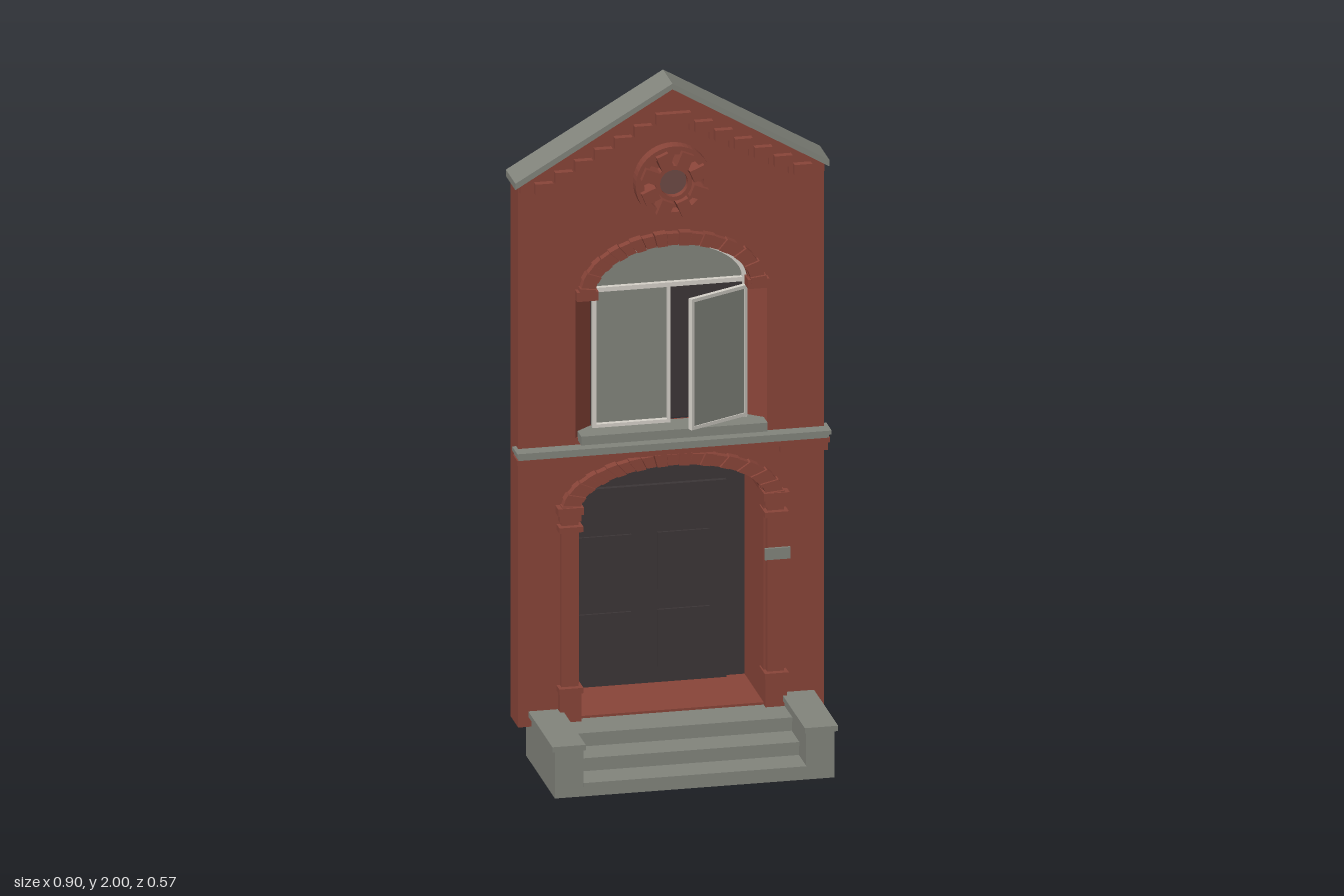
import * as THREE from 'three';

const mat = (name, color) => Object.assign(new THREE.MeshStandardMaterial({ color }), { name });

export function createModel() {
  const brick = mat('brick red', 0x8a4539);
  const stone = mat('grey stone', 0x83857d);
  const dark = mat('dark wood', 0x3c3637);
  const white = mat('pale frame', 0xd6d2ca);
  const dull = mat('dull brick', 0x6d4a45);
  const root = new THREE.Group();

  const add = (name, geo, m, parent = root) => {
    const mesh = new THREE.Mesh(geo, m);
    mesh.name = name;
    parent.add(mesh);
    return mesh;
  };
  // box given by its limits
  const box = (name, m, x0, x1, y0, y1, z0, z1, parent = root) =>
    add(name, new THREE.BoxGeometry(x1 - x0, y1 - y0, z1 - z0)
      .translate((x0 + x1) / 2, (y0 + y1) / 2, (z0 + z1) / 2), m, parent);
  const pair = (name, m, x0, x1, ...r) => {
    box(name + 'Left', m, x0, x1, ...r);
    box(name + 'Right', m, -x1, -x0, ...r);
  };
  // flat shape extruded from z0 to z1
  const slab = (name, m, shape, z0, z1) =>
    add(name, new THREE.ExtrudeGeometry(shape, { depth: z1 - z0, bevelEnabled: false, curveSegments: 24 })
      .translate(0, 0, z0), m);
  const poly = pts => new THREE.Shape(pts.map(p => new THREE.Vector2(...p)));
  const arc = (rx, ry, cy, n = 28) => Array.from({ length: n + 1 }, (_, i) => {
    const a = Math.PI * i / n;
    return [rx * Math.cos(a), cy + ry * Math.sin(a)];
  });
  // opening with straight jambs and an elliptical head
  const arch = (w, y0, spring, ry) => [[w, y0], ...arc(w, ry, spring), [-w, y0]];

  // wall in two layers, so that the window jambs can splay
  const wallShape = hole => {
    const s = poly([[0.44, 0.11], [0.44, 1.728], [0, 1.988], [-0.44, 1.728], [-0.44, 0.11],
      ...arch(0.265, 0.11, 0.745, 0.115).reverse()]);
    s.holes.push(poly(hole));
    return s;
  };
  slab('wallBack', brick, wallShape(arch(0.222, 0.96, 1.39, 0.13)), -0.125, -0.07);
  slab('wallFront', brick, wallShape([[0.275, 0.96], [0.275, 1.38], [0.222, 1.38],
    ...arc(0.222, 0.13, 1.39), [-0.222, 1.38], [-0.275, 1.38], [-0.275, 0.96]]), -0.07, -0.025);
  for (const s of [1, -1]) {
    const jamb = new THREE.ExtrudeGeometry(poly([[s * 0.275, 0.025], [s * 0.275, 0.07], [s * 0.222, 0.07]]),
      { depth: 0.42, bevelEnabled: false }).rotateX(-Math.PI / 2);
    // shape y becomes -z, extrusion becomes +y
    add('windowJamb', jamb.translate(0, 0.96, 0), brick);
  }

  // gable coping
  slab('roofCoping', stone, poly([[0, 2], [0.452, 1.737], [0.452, 1.718], [0, 1.983],
    [-0.452, 1.718], [-0.452, 1.737]]), -0.13, -0.008);

  // stepped brick corbels below the coping
  const steps = [], n = 7, w = 0.057;
  for (let i = 0; i < n; i++) {
    const y = 1.885 - i * 0.03, x0 = i === 0 ? 0 : 0.05 + (i - 1) * w, x1 = 0.05 + i * w;
    steps.push([x0, y], [x1, y]);
    if (i === 0) box('corbel', brick, -x1, x1, y, y + 0.032, -0.025, 0.012);
    else pair('corbel', brick, x0 + 0.012, x1 + 0.006, y, y + 0.032, -0.025, 0.012);
  }
  steps.push([0.437, 1.705], [0.437, 1.727]);
  slab('corbelBand', brick, poly([...steps, [0, 1.985],
    ...steps.slice(1).reverse().map(([x, y]) => [-x, y])]), -0.025, -0.01);

  // round ornament
  const ring = (r0, r1) => {
    const s = new THREE.Shape().absarc(0, 1.71, r1, 0, Math.PI * 2);
    s.holes.push(new THREE.Path().absarc(0, 1.71, r0, 0, Math.PI * 2, true));
    return s;
  };
  slab('rosetteRim', brick, ring(0.086, 0.11), -0.025, 0.012);
  slab('rosetteCollar', brick, ring(0.04, 0.052), -0.025, 0.012);
  slab('rosetteHub', dull, new THREE.Shape().absarc(0, 1.71, 0.04, 0, Math.PI * 2), -0.025, -0.01);
  for (let i = 0; i < 8; i++) {
    const spoke = add('rosetteBrick', new THREE.BoxGeometry(0.045, 0.036, 0.055).translate(0.075, 0, 0), brick);
    spoke.position.set(0, 1.71, 0.0025);
    spoke.rotation.z = (i + 0.5) * Math.PI / 4;
  }

  // ring of brick wedges over an opening
  const voussoirs = (name, count, rx0, ry0, rx1, ry1, cy) => {
    const parts = [[], []];
    for (let i = 0; i < count; i++) {
      const a = Math.PI * (i + 0.03) / count, b = Math.PI * (i + 0.97) / count;
      const k = i % 2 ? 0 : 0.004;
      const p = (rx, ry, t) => [rx * Math.cos(t), cy + ry * Math.sin(t)];
      parts[i % 2].push(poly([p(rx0, ry0, a), p(rx1 + k, ry1 + k, a), p(rx1 + k, ry1 + k, b), p(rx0, ry0, b)]));
    }
    slab(name, brick, parts[0], -0.03, 0.006);
    slab(name, brick, parts[1], -0.03, 0);
  };
  voussoirs('windowArch', 23, 0.225, 0.132, 0.266, 0.166, 1.39);
  voussoirs('doorArch', 27, 0.267, 0.116, 0.318, 0.148, 0.75);

  // window: imposts, sill, panes and frame
  pair('windowImpost', brick, 0.215, 0.277, 1.375, 1.402, -0.07, 0.004);
  box('windowSill', stone, -0.268, 0.268, 0.952, 0.978, -0.07, 0.018);
  box('fixedPane', stone, -0.222, 0, 0.975, 1.385, -0.066, -0.06);
  slab('fanlight', stone, poly(arc(0.222, 0.13, 1.39)), -0.066, -0.06);
  box('darkPanel', dark, 0.003, 0.222, 0.985, 1.385, -0.072, -0.066);
  const head = poly(arc(0.222, 0.13, 1.39));
  head.holes.push(poly(arc(0.21, 0.118, 1.39)));
  slab('frameHead', white, head, -0.06, -0.045);
  pair('frameJamb', white, 0.211, 0.222, 0.978, 1.395, -0.06, -0.045);
  box('frameTransom', white, -0.222, 0.222, 1.382, 1.395, -0.066, -0.045);
  box('frameBottom', white, -0.222, 0, 0.978, 0.988, -0.06, -0.045);
  box('frameMullion', white, -0.006, 0.003, 0.978, 1.385, -0.06, -0.045);

  // open casement, swung outward on its left hinge
  const leaf = new THREE.Group();
  leaf.name = 'openCasement';
  leaf.position.set(0.218, 0, -0.04);
  leaf.rotation.y = 0.455;
  root.add(leaf);
  box('casementPane', stone, -0.19, -0.01, 0.995, 1.365, -0.004, 0.004, leaf);
  for (const x of [-0.2, -0.01]) box('casementStile', white, x, x + 0.01, 0.985, 1.375, -0.007, 0.007, leaf);
  for (const y of [0.985, 1.365]) box('casementRail', white, -0.19, -0.01, y, y + 0.01, -0.007, 0.007, leaf);

  // string course between the floors
  box('courseTop', stone, -0.452, 0.452, 0.928, 0.94, -0.05, 0.018);
  box('courseMiddle', stone, -0.446, 0.446, 0.916, 0.928, -0.05, 0.008);
  box('courseBrick', brick, -0.45, 0.45, 0.902, 0.916, -0.05, 0.008);
  pair('courseEnd', brick, 0.31, 0.446, 0.876, 0.902, -0.05, -0.003);
  box('courseCentre', brick, -0.31, 0.31, 0.896, 0.902, -0.05, -0.003);

  // door pilasters
  pair('pilaster', brick, 0.272, 0.32, 0.125, 0.75, -0.05, -0.004);
  pair('pilasterBase', brick, 0.265, 0.326, 0.125, 0.212, -0.06, 0.004);
  pair('pilasterBaseRing', brick, 0.261, 0.33, 0.212, 0.228, -0.06, 0.014);
  pair('pilasterNeck', brick, 0.261, 0.33, 0.692, 0.708, -0.06, 0.014);
  pair('pilasterCapital', brick, 0.265, 0.326, 0.72, 0.742, -0.06, 0.004);
  pair('pilasterImpost', brick, 0.259, 0.333, 0.742, 0.764, -0.06, 0.012);
  box('numberPlate', stone, 0.262, 0.335, 0.566, 0.6, 0.004, 0.012);

  // vaulted porch behind the wall
  const porch = poly(arch(0.31, 0.125, 0.73, 0.163));
  porch.holes.push(poly(arch(0.265, 0.125, 0.745, 0.115).map(([x, y]) => [x, Math.max(y, 0.126)])));
  slab('porchShell', brick, porch, -0.275, -0.125);
  slab('porchBack', dark, poly(arch(0.27, 0.128, 0.745, 0.12)), -0.284, -0.265);
  box('porchFloor', brick, -0.265, 0.265, 0.122, 0.132, -0.265, -0.02);
  box('doorLeaf', dark, -0.263, 0.21, 0.132, 0.72, -0.265, -0.25);
  for (const x of [-0.215, 0.01]) for (const y of [0.18, 0.41])
    box('doorPanel', dark, x, x + 0.15, y, y + 0.17, -0.25, -0.243);

  // stone steps, each tread with a thin nosing
  [[0.042, 0.275], [0.083, 0.185], [0.125, 0.095]].forEach(([y, z]) => {
    box('stepBody', stone, -0.32, 0.32, 0, y - 0.012, -0.25, z);
    box('stepTread', stone, -0.32, 0.32, y - 0.012, y, -0.25, z + 0.007);
  });
  pair('stepCheek', stone, 0.32, 0.402, 0, 0.14, -0.095, 0.275);
  pair('stepCheekCap', stone, 0.315, 0.411, 0.14, 0.156, -0.095, 0.283);
  return root;
}
